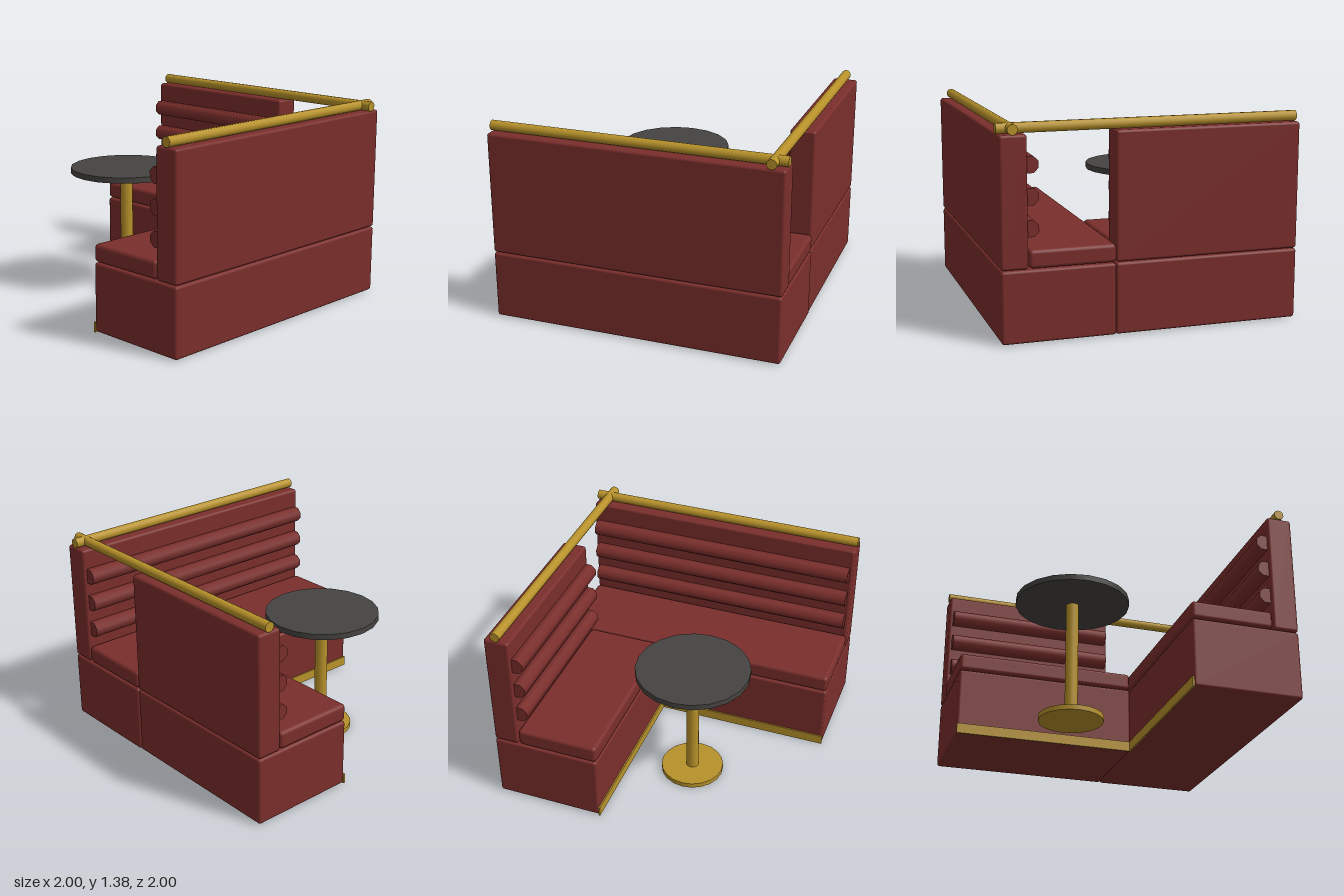
import * as THREE from 'three';
import { RoundedBoxGeometry } from 'three/addons/geometries/RoundedBoxGeometry.js';

const red = new THREE.MeshStandardMaterial({ color: 0x7a2e2b });
const brass = new THREE.MeshStandardMaterial({ color: 0xb8922a });
const dark = new THREE.MeshStandardMaterial({ color: 0x454441 });

function add(parent, name, geometry, material, x, y, z) {
  const mesh = new THREE.Mesh(geometry, material);
  mesh.name = name;
  mesh.position.set(x, y, z);
  parent.add(mesh);
  return mesh;
}

// Rounded block given by its extents on each axis
function block(parent, name, [x0, x1], [y0, y1], [z0, z1], radius) {
  const geometry = new RoundedBoxGeometry(x1 - x0, y1 - y0, z1 - z0, 2, radius);
  add(parent, name, geometry, red, (x0 + x1) / 2, (y0 + y1) / 2, (z0 + z1) / 2);
}

// Cylinder lying along x
function lyingBar(parent, name, radius, sides, [x0, x1], y, z, material) {
  const geometry = new THREE.CylinderGeometry(radius, radius, x1 - x0, sides);
  geometry.rotateY(Math.PI / sides).rotateZ(Math.PI / 2);
  return add(parent, name, geometry, material, (x0 + x1) / 2, y, z);
}

// Straight bench running along x with its back towards +z
function bench(name, x0, x1, railStart, railEnd) {
  const group = new THREE.Group();
  group.name = name;
  block(group, 'base', [x0, x1], [0.005, 0.475], [0.25, 0.995], 0.018);
  block(group, 'seatCushion', [x0, x1], [0.48, 0.6], [0.25, 0.815], 0.025);
  block(group, 'backrest', [x0, x1], [0.48, 1.32], [0.82, 0.995], 0.018);
  for (const y of [0.73, 0.93, 1.13])
    lyingBar(group, 'backRoll', 0.057, 8, [x0 + 0.025, x1 - 0.025], y, 0.798, red);
  lyingBar(group, 'topRail', 0.034, 12, [railStart, railEnd], 1.352, 0.91, brass);
  return group;
}

export function createModel() {
  const model = new THREE.Group();
  model.name = 'cornerBooth';

  // Long bench, and the short bench turned to back onto +x
  const longBench = bench('longBench', -1, 1, -1, 1);
  const shortBench = bench('shortBench', -0.25, 1, -1, 1);
  shortBench.rotation.y = Math.PI / 2;
  model.add(longBench, shortBench);

  // Brass kick strips along the inner feet of the benches
  add(longBench, 'kickStrip', new THREE.BoxGeometry(1.25, 0.07, 0.012), brass, -0.375, 0.035, 0.246);
  add(shortBench, 'kickStrip', new THREE.BoxGeometry(1.25, 0.07, 0.012), brass, 0.375, 0.035, 0.246);

  // Round pedestal table
  const table = new THREE.Group();
  table.name = 'table';
  table.position.set(-0.19, 0, -0.315);
  add(table, 'tableFoot', new THREE.CylinderGeometry(0.22, 0.22, 0.035, 20), brass, 0, 0.0175, 0);
  add(table, 'tablePost', new THREE.CylinderGeometry(0.045, 0.045, 0.84, 12), brass, 0, 0.45, 0);
  add(table, 'tableTop', new THREE.CylinderGeometry(0.395, 0.395, 0.04, 20), dark, 0, 0.88, 0);
  model.add(table);

  return model;
}
